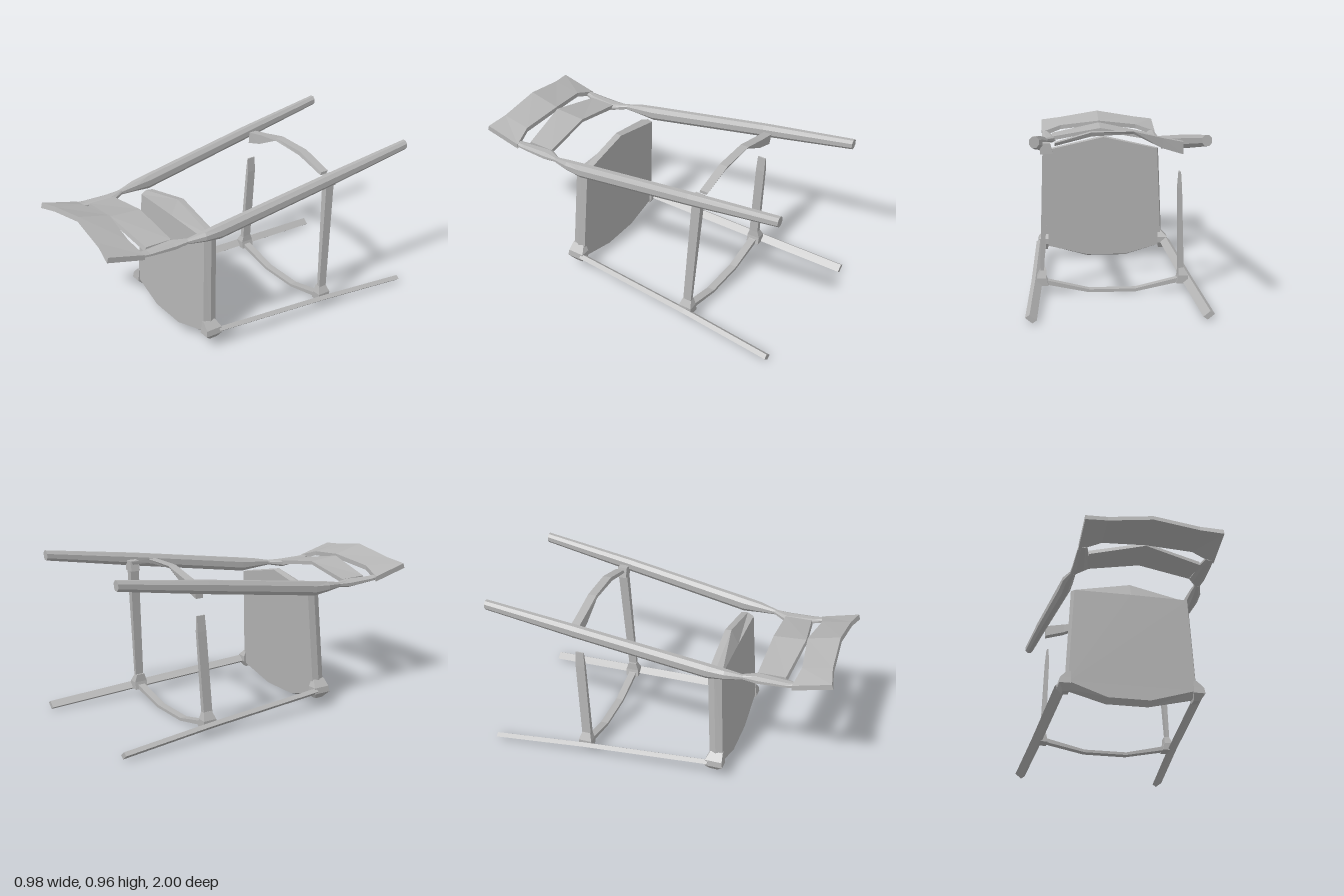
import * as THREE from 'three';

const grey = new THREE.MeshStandardMaterial({ color: 0xb4b4b4, flatShading: true });
grey.name = 'plain grey';

// Closed solid through a row of rings; winding is flipped if it comes out inside-out
function loft(name, rings) {
  const n = rings[0].length, pos = [];
  const tri = (a, b, c) => pos.push(...a, ...b, ...c);
  for (let i = 0; i < rings.length - 1; i++) {
    for (let j = 0; j < n; j++) {
      const k = (j + 1) % n, a = rings[i], b = rings[i + 1];
      tri(a[j], a[k], b[k]);
      tri(a[j], b[k], b[j]);
    }
  }
  const first = rings[0], last = rings[rings.length - 1];
  for (let j = 1; j < n - 1; j++) {
    tri(first[0], first[j + 1], first[j]);
    tri(last[0], last[j], last[j + 1]);
  }
  let volume = 0;
  const v = [new THREE.Vector3(), new THREE.Vector3(), new THREE.Vector3()];
  for (let i = 0; i < pos.length; i += 9) {
    v.forEach((p, k) => p.fromArray(pos, i + 3 * k));
    volume += v[0].dot(v[1].clone().cross(v[2]));
  }
  if (volume < 0) {
    for (let i = 0; i < pos.length; i += 9) {
      for (let k = 3; k < 6; k++) [pos[i + k], pos[i + k + 3]] = [pos[i + k + 3], pos[i + k]];
    }
  }
  const geo = new THREE.BufferGeometry();
  geo.setAttribute('position', new THREE.Float32BufferAttribute(pos, 3));
  geo.computeVertexNormals();
  const mesh = new THREE.Mesh(geo, grey);
  mesh.name = name;
  return mesh;
}

// Chamfered bar along z; each section is [z, x0, x1, y0, y1]
function barZ(name, side, sections) {
  return loft(name, sections.map(([z, x0, x1, y0, y1]) => {
    const c = 0.28, dx = (x1 - x0) * c, dy = (y1 - y0) * c;
    return [[x0 + dx, y0], [x1 - dx, y0], [x1, y0 + dy], [x1, y1 - dy],
      [x1 - dx, y1], [x0 + dx, y1], [x0, y1 - dy], [x0, y0 + dy]].map(([x, y]) => [side * x, y, z]);
  }));
}

// Four-sided bar along y; each section is [y, x0, x1, z0, z1]
const barY = (name, side, sections) => loft(name, sections.map(([y, x0, x1, z0, z1]) =>
  [[side * x0, y, z0], [side * x1, y, z0], [side * x1, y, z1], [side * x0, y, z1]]));

// Sloping slat along x; each section is [x, lowY, lowZ, highY, highZ, thickness]
const slat = (name, sections) => loft(name, sections.map(([x, ya, za, yb, zb, t]) =>
  [[x, ya, za], [x, yb, zb], [x, yb + t, zb - t * 0.3], [x, ya + t, za]]));

const mirrored = (half) => [...half.slice(1).reverse().map(([x, ...r]) => [-x, ...r]), ...half];

export function createModel() {
  const model = new THREE.Group();
  model.name = 'chair';

  // Seat: bowed front and back edges, bevelled, slightly tilted
  const layer = (z, side, front, bow, back, arch) => [
    [-side, front], [-0.14, bow], [0.1, bow], [side, front],
    [side - 0.03, back], [0, arch], [-side + 0.03, back],
  ].map(([x, y]) => [x, y, z - 0.05 * y]);
  model.add(loft('seat', [
    layer(0.327, 0.365, 0.085, 0.02, 0.7, 0.775),
    layer(0.365, 0.375, 0.08, 0.006, 0.7, 0.78),
    layer(0.405, 0.36, 0.11, 0.03, 0.69, 0.692),
  ]));

  for (const s of [-1, 1]) {
    const side = s > 0 ? 'left' : 'right';

    // Rear leg, narrowing into the backrest
    model.add(barZ(side + 'RearLeg', s, [
      [-1, 0.408, 0.457, 0.912, 0.968],
      [-0.45, 0.383, 0.442, 0.818, 0.893],
      [0.3, 0.345, 0.41, 0.697, 0.778],
      [0.4, 0.343, 0.403, 0.706, 0.762],
      [0.5, 0.345, 0.375, 0.714, 0.742],
    ]));
    // Backrest post
    model.add(barZ(side + 'BackPost', s, [
      [0.49, 0.345, 0.375, 0.716, 0.742],
      [0.58, 0.29, 0.375, 0.7, 0.742],
      [0.74, 0.315, 0.375, 0.715, 0.742],
      [0.79, 0.33, 0.372, 0.72, 0.748],
    ]));

    // Front leg: a bar set diagonally under the seat corner
    const diagonal = [[0.03, 0.007], [0.007, 0.023], [-0.03, -0.007], [-0.007, -0.023]];
    model.add(loft(side + 'FrontLeg', [[-1, 0.46, 0.027], [-0.44, 0.425, 0.064], [0.32, 0.39, 0.105]]
      .map(([z, x, y]) => diagonal.map(([dx, dy]) => [s * (x + dx), y + dy, z]))));
    // Corner block joining front leg and seat
    model.add(barY(side + 'SeatCorner', s, [
      [0.06, 0.35, 0.385, 0.325, 0.375],
      [0.095, 0.345, 0.41, 0.305, 0.41],
      [0.13, 0.345, 0.405, 0.305, 0.405],
      [0.17, 0.345, 0.365, 0.325, 0.4],
    ]));
    // Joint where the stretchers meet the front leg
    model.add(barY(side + 'LegJoint', s, [
      [0.05, 0.36, 0.425, -0.48, -0.4],
      [0.095, 0.37, 0.425, -0.48, -0.4],
      [0.14, 0.372, 0.402, -0.465, -0.415],
    ]));
  }

  // Side stretchers; the right one stops short of the rear leg
  model.add(barY('leftSideStretcher', 1, [
    [0.12, 0.385, 0.405, -0.465, -0.415], [0.84, 0.345, 0.385, -0.505, -0.45]]));
  model.add(barY('rightSideStretcher', -1, [
    [0.12, 0.372, 0.402, -0.465, -0.41], [0.6, 0.362, 0.383, -0.49, -0.435],
    [0.69, 0.368, 0.376, -0.49, -0.44]]));
  // Short stub where the left stretcher meets its leg
  model.add(barY('leftRearJoint', 1, [
    [0.8, 0.33, 0.4, -0.505, -0.45], [0.86, 0.345, 0.4, -0.505, -0.45]]));

  // Bowed front stretcher
  model.add(loft('frontStretcher', [
    [-0.4, 0.065, 0.09], [-0.36, 0.05, 0.075], [-0.13, 0.003, 0.02],
    [0.13, 0.003, 0.02], [0.36, 0.05, 0.075], [0.4, 0.065, 0.09],
  ].map(([x, a, b]) => [[x, a, -0.46], [x, b, -0.46], [x, b, -0.415], [x, a, -0.415]])));

  // Bowed rear stretcher with a deep wedge at its right end
  model.add(loft('rearStretcher', [
    [-0.385, 0.79, 0.86], [-0.27, 0.825, 0.883], [-0.11, 0.905, 0.92],
    [0.12, 0.894, 0.917], [0.32, 0.843, 0.86],
  ].map(([x, a, b]) => [[x, a, -0.5], [x, b, -0.51], [x, b, -0.46], [x, a, -0.455]])));

  // Backrest slats, arched toward the rear
  model.add(slat('lowerSlat', mirrored([
    [0, 0.772, 0.575, 0.785, 0.77, 0.02], [0.31, 0.716, 0.57, 0.718, 0.735, 0.025]])));
  model.add(slat('topSlat', mirrored([
    [0, 0.788, 0.77, 0.833, 0.963, 0.027], [0.25, 0.757, 0.8, 0.79, 0.975, 0.027],
    [0.375, 0.712, 0.775, 0.768, 1, 0.03]])));

  return model;
}
